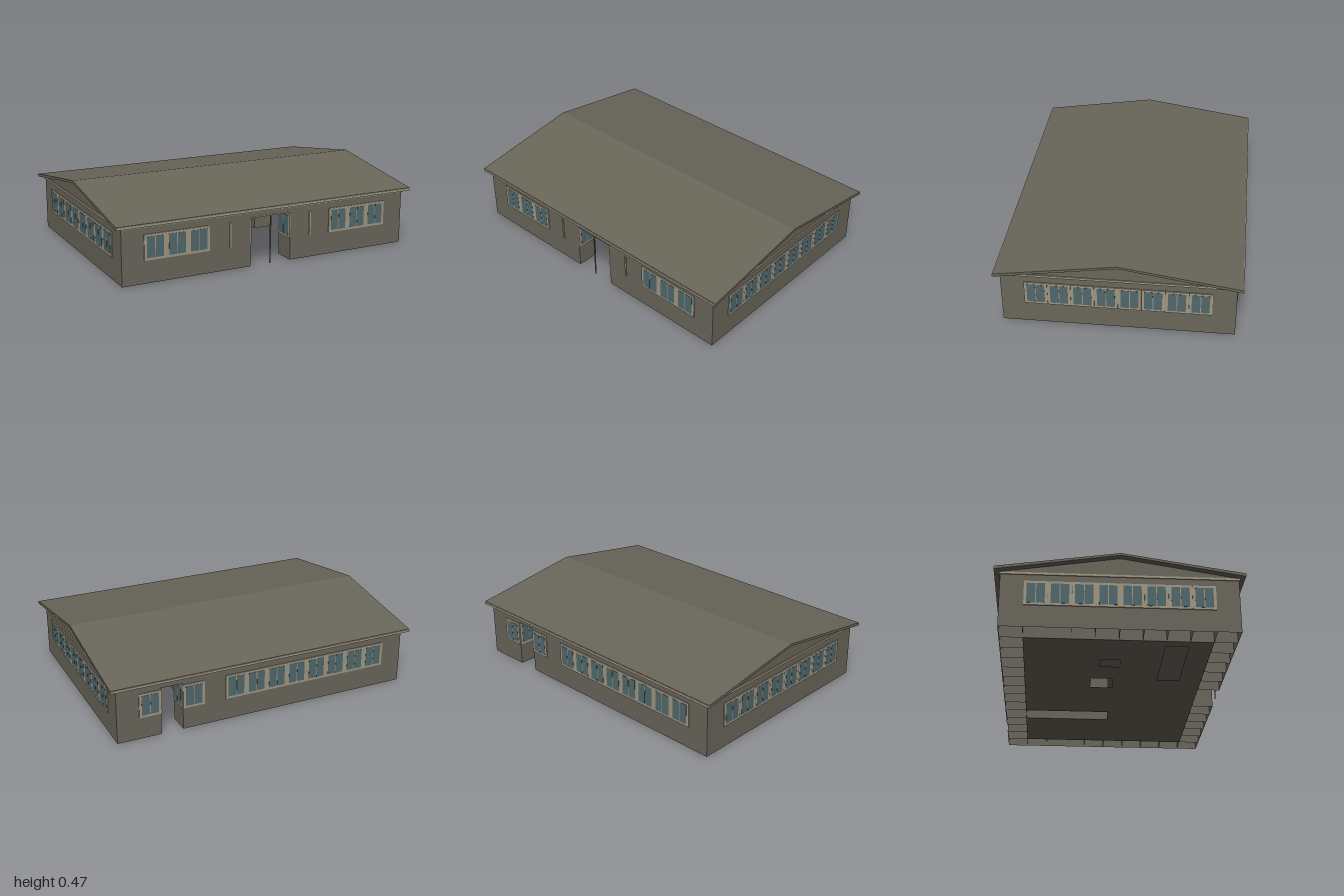
import * as THREE from 'three';

const W = 0.96, D = 0.69, H = 0.34;      // half width, half depth, wall height
const NX = 14, NZ = 10;                  // wall bays along x and z
const TX = 2 * W / NX, TZ = 2 * D / NZ;

export function createModel() {
  const model = new THREE.Group();
  model.name = 'building';
  const mat = (name, color, side = THREE.FrontSide) => {
    const m = new THREE.MeshStandardMaterial({ color, side });
    m.name = name;
    return m;
  };
  const wall = mat('wall', 0x69665a, THREE.DoubleSide);
  const under = mat('floor', 0x68655a);
  const trim = mat('trim', 0xa09682);
  const glass = mat('glass', 0x50686c);

  const add = (name, geo, material, x = 0, y = 0, z = 0, parent = model) => {
    const m = new THREE.Mesh(geo, material);
    m.name = name;
    m.position.set(x, y, z);
    parent.add(m);
    return m;
  };
  const box = (name, w, h, d, material, x, y, z, parent) =>
    add(name, new THREE.BoxGeometry(w, h, d), material, x, y, z, parent);
  const cx = i => -W + (i + 0.5) * TX;
  const cz = j => -D + (j + 0.5) * TZ;

  // Hollow wall block, open at the bottom
  const blockGeo = (w, d) => {
    const g = new THREE.BoxGeometry(w, H, d);
    const idx = Array.from(g.index.array);
    idx.splice(18, 6);
    g.setIndex(idx);
    g.clearGroups();
    return g;
  };

  // Ring of wall blocks, with a front entrance and a back doorway left out
  const bay = blockGeo(TX, TZ);
  for (let i = 0; i < NX; i++) {
    for (let j = 0; j < NZ; j++) {
      const ring = i === 0 || i === NX - 1 || j === 0 || j === NZ - 1;
      const entrance = j === NZ - 1 && (i === 6 || i === 7);
      const backDoor = j === 0 && i === 11;
      if (ring && !entrance && !backDoor) add('wallBlock', bay, wall, cx(i), H / 2, cz(j));
    }
  }
  // Interior partition
  add('partition', blockGeo(TX, 4 * TZ), wall, cx(9), H / 2, -3 * TZ + TZ);

  // Floor seen from below, with gaps for partitions and shafts
  const rect = (P, x0, z0, x1, z1) => {
    const p = new P();
    p.moveTo(x0, z0);
    p.lineTo(x1, z0);
    p.lineTo(x1, z1);
    p.lineTo(x0, z1);
    p.closePath();
    return p;
  };
  const floor = rect(THREE.Shape, -W + TX, -D + TZ, W - TX, D - TZ);
  [[2 * TX, -3.98 * TZ, 3 * TX, 0],
    [-5.5 * TX, 2 * TZ, -2 * TX, 3 * TZ],
    [-2 * TX, -TZ, -TX, 0],
    [-4 * TX, -0.7 * TZ, -3.3 * TX, 0.2 * TZ]].forEach(h => floor.holes.push(rect(THREE.Path, ...h)));
  add('floor', new THREE.ShapeGeometry(floor).rotateX(Math.PI / 2), under, 0, 0.002, 0);

  // One window bay: trim plate with two panes
  const window_ = (x, z, turn, width = TX) => {
    const g = new THREE.Group();
    g.name = 'window';
    g.position.set(x, 0.215, z);
    g.rotation.y = turn;
    box('windowFrame', width, 0.154, 0.006, trim, 0, 0, 0.003, g);
    for (const s of [-1, 1]) box('windowPane', 0.05, 0.126, 0.008, glass, s * 0.0275, 0, 0.0032, g);
    model.add(g);
  };
  const P = Math.PI;
  const IX = W - TX, IZ = D - TZ;
  for (let k = 1; k <= 8; k++) {
    for (const s of [-1, 1]) {
      window_(s * W, cz(k), s * P / 2);
      window_(s * IX, cz(k), -s * P / 2);
    }
  }
  for (const i of [1, 2, 3, 10, 11, 12]) {
    window_(cx(i), D, 0);
    window_(cx(i), IZ, P);
  }
  for (const i of [1, 2, 3, 4, 5, 6, 7, 8, 10, 12]) {
    window_(cx(i), -D, P);
    window_(cx(i), -IZ, 0);
  }
  // Glazing on the entrance and back doorway cheeks
  for (const s of [-1, 1]) window_(s * TX, cz(9), -s * P / 2, TZ);
  window_(4 * TX, cz(0), P / 2, TZ);
  window_(5 * TX, cz(0), -P / 2, TZ);

  // Entrance: lintels, post, side strips and far skirting
  box('entranceLintel', 2 * TX, 0.04, TZ, wall, 0, 0.32, cz(9));
  box('entranceTrim', 2 * TX, 0.005, 0.006, trim, 0, 0.302, D);
  box('backLintel', TX, 0.04, TZ, wall, cx(11), 0.32, cz(0));
  box('entrancePost', 0.006, 0.3, 0.006, wall, 0, 0.15, D - 0.004);
  box('skirting', 2 * TX, 0.008, 0.006, trim, 0, 0.01, -IZ + 0.003);
  for (const s of [-1, 1]) box('wallStrip', 0.01, 0.15, 0.008, trim, s * 0.275, 0.215, D + 0.002);

  // Trim band round the top of the walls
  for (const s of [-1, 1]) {
    box('wallBand', 2 * W + 0.012, 0.014, 0.006, trim, 0, 0.341, s * (D + 0.003));
    box('wallBand', 0.006, 0.014, 2 * D, trim, s * (W + 0.003), 0.341, 0);
  }

  // Gable prism and pitched roof, extruded along x
  const alongX = (pts, half) => new THREE.ExtrudeGeometry(
    new THREE.Shape(pts.map(p => new THREE.Vector2(...p))),
    { depth: 2 * half, bevelEnabled: false }
  ).translate(0, 0, -half).rotateY(P / 2);
  add('gable', alongX([[-D, 0.34], [D, 0.34], [D, 0.352], [0, 0.464], [-D, 0.352]], W), wall);
  add('roof', alongX([[-0.722, 0.345], [0, 0.46], [0.722, 0.345],
    [0.722, 0.364], [0, 0.474], [-0.722, 0.364]], 1), wall);

  // Eave boards
  for (const s of [-1, 1]) box('eaveBoard', 2, 0.015, 0.004, trim, 0, 0.354, s * 0.724);
  return model;
}
